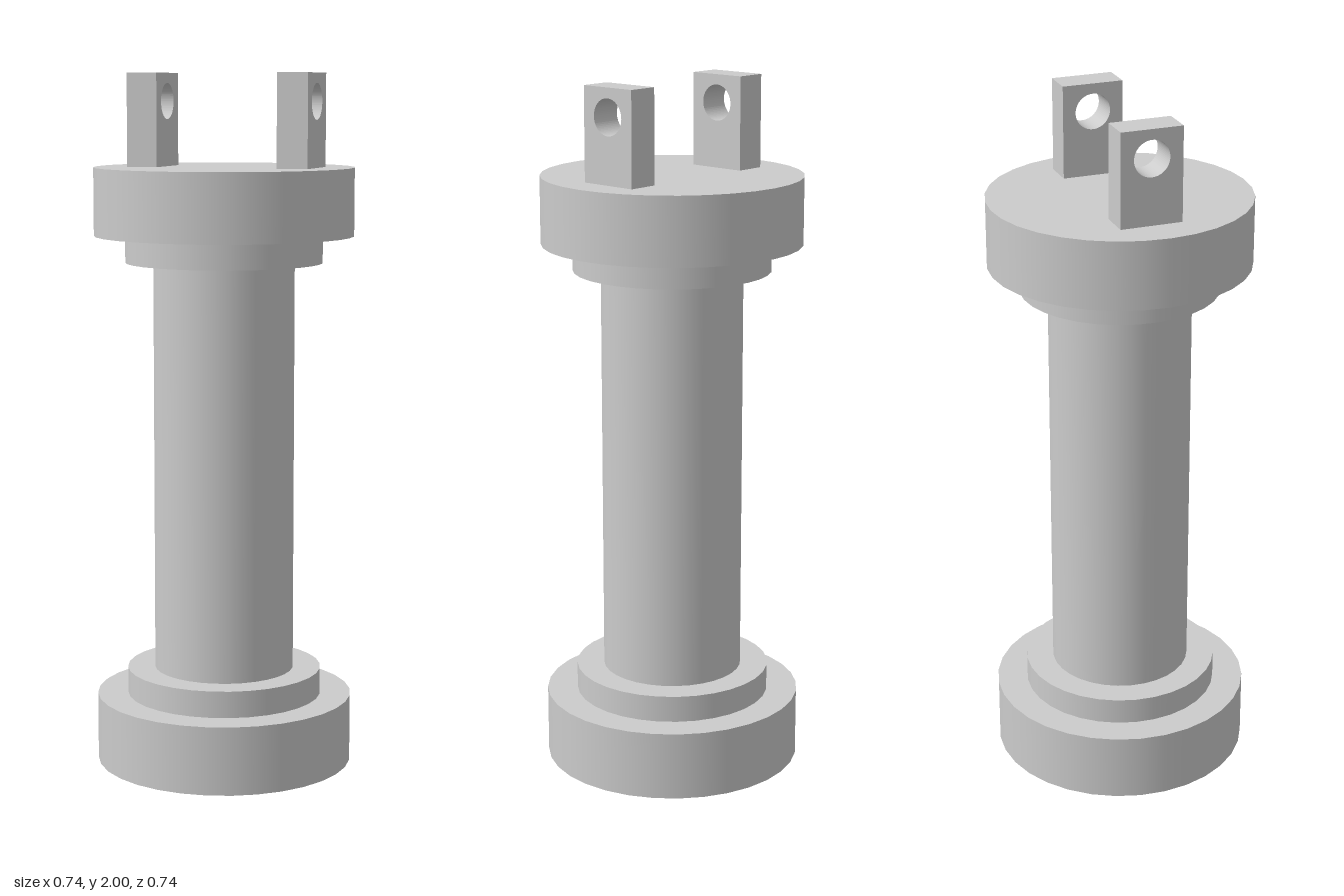
import * as THREE from 'three';

const material = new THREE.MeshStandardMaterial({ color: 0xcccccc });

function addMesh(group, name, geometry) {
  const mesh = new THREE.Mesh(geometry, material);
  mesh.name = name;
  group.add(mesh);
  return mesh;
}

// Upright disc or column between two heights
function addDisc(group, name, radius, bottom, top) {
  const geometry = new THREE.CylinderGeometry(radius, radius, top - bottom, 32);
  addMesh(group, name, geometry).position.y = (bottom + top) / 2;
}

// Upright plate with a round pin hole running along x
function lugGeometry(width, bottom, top, thickness, holeY, holeRadius) {
  const w = width / 2;
  const shape = new THREE.Shape([
    new THREE.Vector2(-w, bottom),
    new THREE.Vector2(w, bottom),
    new THREE.Vector2(w, top),
    new THREE.Vector2(-w, top),
  ]);
  const hole = new THREE.Path();
  hole.absarc(0, holeY, holeRadius, 0, Math.PI * 2, true);
  shape.holes.push(hole);
  const geometry = new THREE.ExtrudeGeometry(shape, {
    depth: thickness, bevelEnabled: false, curveSegments: 32,
  });
  return geometry.translate(0, 0, -thickness / 2).rotateY(Math.PI / 2);
}

export function createModel() {
  const group = new THREE.Group();
  group.name = 'flangedColumn';

  // Stacked round body
  addDisc(group, 'baseFlange', 0.372, 0, 0.198);
  addDisc(group, 'lowerCollar', 0.283, 0.198, 0.275);
  addDisc(group, 'shaft', 0.203, 0.275, 1.464);
  addDisc(group, 'upperCollar', 0.283, 1.464, 1.541);
  addDisc(group, 'topFlange', 0.372, 1.541, 1.735);

  // Pair of pierced lugs on the top flange
  const lug = lugGeometry(0.176, 1.735, 2, 0.09, 1.92, 0.051);
  addMesh(group, 'leftLug', lug).position.set(0.226, 0, -0.011);
  addMesh(group, 'rightLug', lug).position.set(-0.221, 0, -0.011);

  return group;
}
